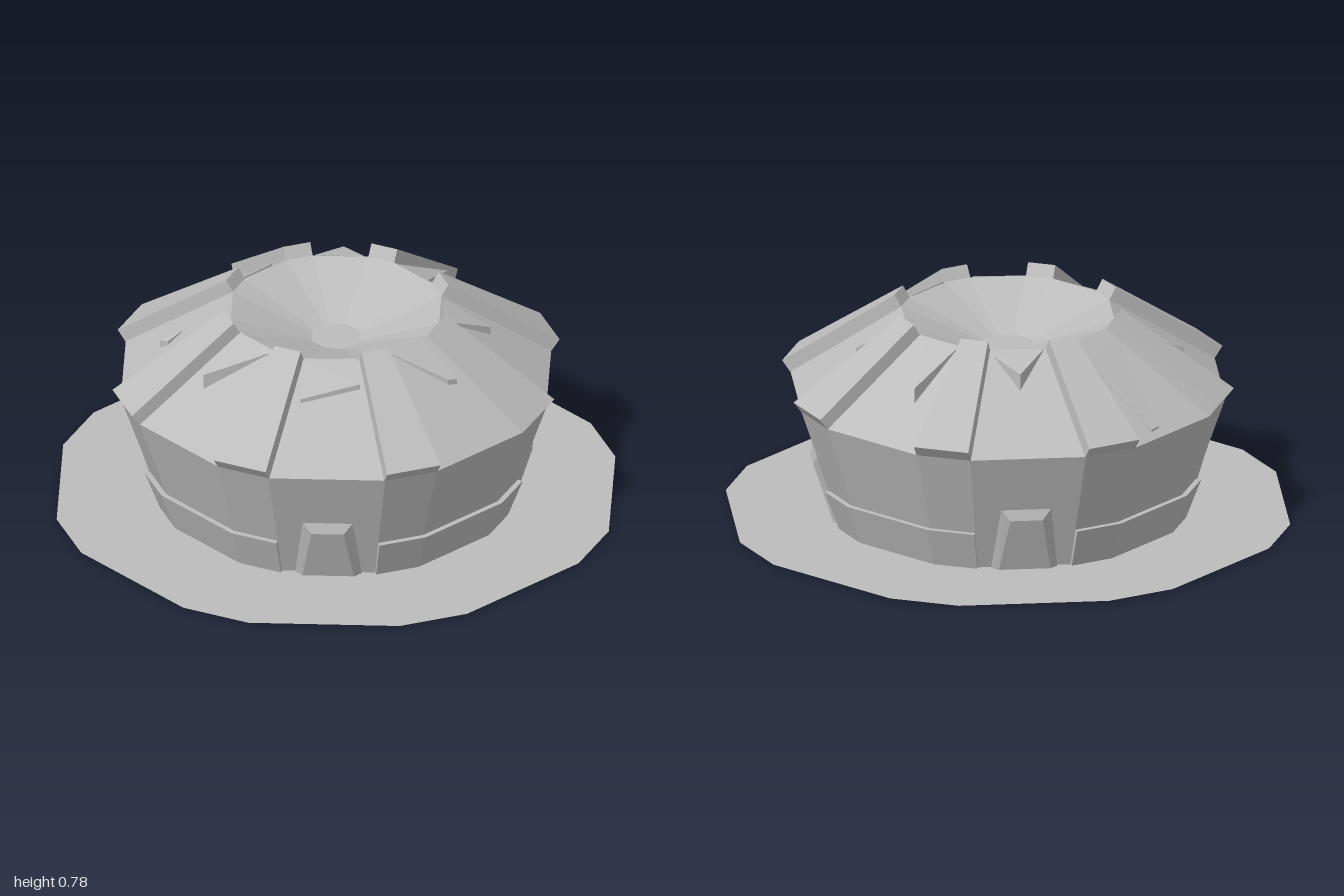
import * as THREE from 'three';

const RAD = Math.PI / 180;
const HALF = 7.2; // half angle covered by each rib, in degrees
const RIM = { r: 0.38, y: 0.735 }, EAVE = { r: 0.776, y: 0.465 }, BASE = { r: 0.62, y: 0.008 };
const FACET = Math.cos((22.5 - HALF) * RAD); // apothem factor of the wide facets

const grey = new THREE.MeshStandardMaterial({ color: 0xbcbcbc });
grey.name = 'concreteGrey';
const sheetGrey = grey; 
sheetGrey.side = THREE.DoubleSide;

// Sixteen corner angles: a narrow facet at each rib, a wide one between ribs
const ringAngles = [];
for (let k = 0; k <= 8; k++) ringAngles.push(k * 45 - HALF, k * 45 + HALF);
ringAngles.pop();

const polar = (a, r, y) => [r * Math.sin(a * RAD), y, r * Math.cos(a * RAD)];

function flatMesh(name, tris) {
  const g = new THREE.BufferGeometry();
  g.setAttribute('position', new THREE.Float32BufferAttribute(tris.flat(), 3));
  g.computeVertexNormals();
  const m = new THREE.Mesh(g, grey);
  m.name = name;
  return m;
}

// Sweep a profile of [radius, y] around a list of angles
function sweep(profile, angles) {
  const out = [];
  for (let i = 0; i + 1 < angles.length; i++) {
    for (let j = 0; j + 1 < profile.length; j++) {
      const [p, q] = [profile[j], profile[j + 1]];
      const a = polar(angles[i], ...p), b = polar(angles[i + 1], ...p);
      const c = polar(angles[i + 1], ...q), d = polar(angles[i], ...q);
      if (p[0] > 0) out.push(a, b, c);
      if (q[0] > 0) out.push(a, c, d);
    }
  }
  return out;
}

// Solid between two matching loops, counter-clockwise seen from the upper one
function solid(lower, upper) {
  const out = [], n = lower.length;
  for (let i = 0; i < n; i++) {
    const k = (i + 1) % n;
    out.push(lower[i], lower[k], upper[k], lower[i], upper[k], upper[i]);
  }
  for (let i = 1; i + 1 < n; i++) {
    out.push(upper[0], upper[i], upper[i + 1], lower[0], lower[i + 1], lower[i]);
  }
  return out;
}

// Height of the wide roof facet lying under a point
function roofY(x, z) {
  const a = (Math.floor(Math.atan2(x, z) / RAD / 45) * 45 + 22.5) * RAD;
  const r = x * Math.sin(a) + z * Math.cos(a);
  const t = (r - RIM.r * FACET) / ((EAVE.r - RIM.r) * FACET);
  return RIM.y + t * (EAVE.y - RIM.y);
}

// Roof shards: corners as [x, z, lift above the roof]
const shards = [
  [[-0.23, -0.36, 0.004], [-0.24, -0.68, 0.008], [-0.2, -0.7, 0.008], [-0.08, -0.44, 0.006]],
  [[0.06, -0.38, 0.004], [0.2, -0.47, 0.06], [0.23, -0.33, 0.004]],
  [[0.32, -0.22, 0.004], [0.52, -0.28, 0.055], [0.38, -0.09, 0.004]],
  [[0.375, 0.06, 0.004], [0.52, 0.16, 0.03], [0.33, 0.21, 0.004]],
  [[0.06, 0.37, 0.004], [0.25, 0.465, 0.02], [0.285, 0.46, 0.02], [0.21, 0.32, 0.004]],
  [[-0.24, 0.31, 0.004], [-0.29, 0.43, 0.015], [-0.08, 0.465, 0.02], [-0.06, 0.37, 0.004]],
  [[-0.375, 0.06, 0.004], [-0.55, 0.15, 0.055], [-0.33, 0.21, 0.004]],
  [[-0.57, -0.24, 0.03], [-0.49, -0.23, 0.004], [-0.55, -0.215, 0.015]],
];

export function createModel() {
  const model = new THREE.Group();

  // Ground apron
  model.add(flatMesh('groundApron', sweep([[1.007, 0.006], [0, 0.006]], ringAngles)));

  // Flared wall, sloping roof and sunken bowl
  model.add(flatMesh('wall', sweep([[BASE.r, BASE.y], [EAVE.r, EAVE.y]], ringAngles)));
  model.add(flatMesh('roof', sweep([[EAVE.r, EAVE.y], [RIM.r, RIM.y]], ringAngles)));
  model.add(flatMesh('roofBowl', sweep([[RIM.r, RIM.y], [0.09, 0.62], [0, 0.62]], ringAngles)));

  // Eight tapering roof ribs
  for (let k = 0; k < 8; k++) {
    const rib = flatMesh('roofRib', solid(
      [[-0.1, 0.465, 0.77], [0.1, 0.465, 0.77], [0.05, 0.733, 0.376], [-0.05, 0.733, 0.376]],
      [[-0.1, 0.505, 0.8], [0.1, 0.505, 0.8], [0.05, 0.776, 0.402], [-0.05, 0.776, 0.402]],
    ));
    rib.rotation.y = k * 45 * RAD;
    model.add(rib);
  }

  // Point on a wide wall facet, pushed out by off
  const onWall = (t, y, off) => {
    const r = BASE.r + (y - BASE.y) * (EAVE.r - BASE.r) / (EAVE.y - BASE.y);
    return [t, y, r * FACET + off];
  };
  const arch = (bottom, top, h, off) => [[-bottom, 0], [bottom, 0], [top, h], [-top, h]]
    .map(([t, y]) => onWall(t, y, off));

  // Four bevelled doors with skirting between them
  const skirtProfile = [[0.615, 0.008], [0.635, 0.008], [0.69, 0.155], [0.66, 0.155]];
  const skirtAngles = [-HALF, HALF, 45 - HALF, 45 + HALF];
  for (let k = 0; k < 4; k++) {
    const door = flatMesh('door', solid(arch(0.118, 0.088, 0.25, 0.004), arch(0.092, 0.057, 0.212, 0.028)));
    door.rotation.y = (k * 90 - 22.5) * RAD;
    model.add(door);

    const tris = sweep(skirtProfile, skirtAngles);
    const [a, b, c, d] = skirtProfile.map((p) => polar(skirtAngles[0], ...p));
    const [e, f, g, h] = skirtProfile.map((p) => polar(skirtAngles[3], ...p));
    tris.push(a, b, c, a, c, d, e, g, f, e, h, g);
    const skirt = flatMesh('skirting', tris);
    skirt.rotation.y = k * 90 * RAD;
    model.add(skirt);
  }

  // Broken shards lifting from the roof
  for (const pts of shards) {
    let area = 0;
    pts.forEach(([x, z], i) => {
      const [x2, z2] = pts[(i + 1) % pts.length];
      area += x * z2 - x2 * z;
    });
    const loop = area > 0 ? [...pts].reverse() : pts;
    model.add(flatMesh('roofShard', solid(
      loop.map(([x, z]) => [x, roofY(x, z) - 0.01, z]),
      loop.map(([x, z, lift]) => [x, roofY(x, z) + lift, z]),
    )));
  }
  return model;
}
